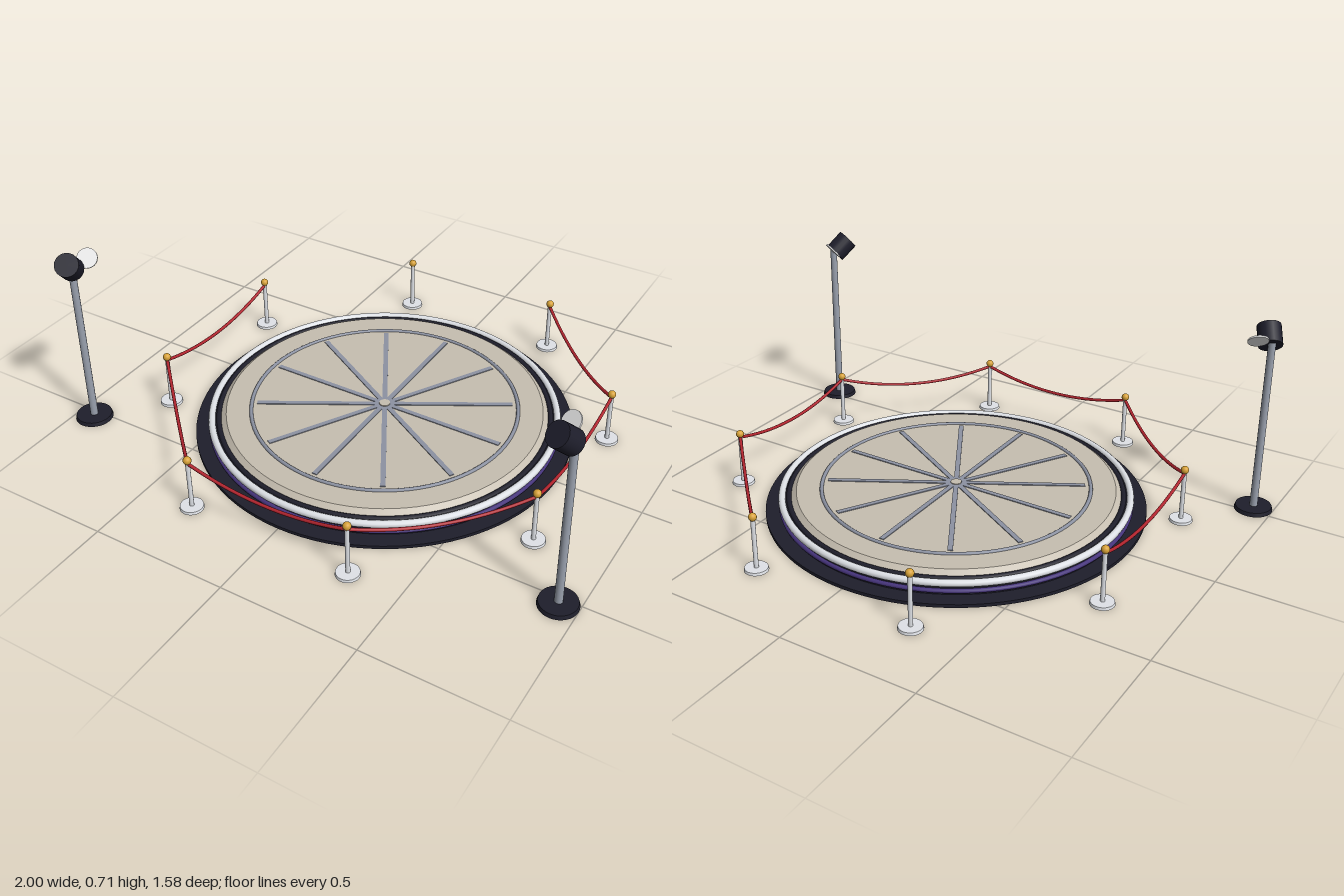
import * as THREE from 'three';

const mat = (name, color) => {
  const m = new THREE.MeshStandardMaterial({ color });
  m.name = name;
  return m;
};

export function createModel() {
  const model = new THREE.Group();
  model.name = 'displayStage';

  const dark = mat('dark metal', 0x1e1e2b);
  const steel = mat('polished steel', 0xe2e5ea);
  const pole = mat('grey metal', 0x9aa1ae);
  const stone = mat('beige deck', 0xc6beb0);
  const inlay = mat('blue grey inlay', 0x8c92a2);
  const purple = mat('purple glow', 0x46347c);
  const gold = mat('gold', 0xd8a236);
  const red = mat('red rope', 0xb2242e);
  const lensWhite = mat('lens white', 0xffffff);

  const add = (parent, name, geometry, material, x = 0, y = 0, z = 0) => {
    const mesh = new THREE.Mesh(geometry, material);
    mesh.name = name;
    mesh.position.set(x, y, z);
    parent.add(mesh);
    return mesh;
  };
  // Upright cylinder standing on y0 and reaching y1
  const disc = (parent, name, rTop, rBottom, y0, y1, material, sides = 96) =>
    add(parent, name, new THREE.CylinderGeometry(rTop, rBottom, y1 - y0, sides), material, 0, (y0 + y1) / 2, 0);
  // Horizontal ring
  const ring = (parent, name, r, tube, y, material) =>
    add(parent, name, new THREE.TorusGeometry(r, tube, 10, 96).rotateX(Math.PI / 2), material, 0, y, 0);

  // Round stage
  const stage = new THREE.Group();
  stage.name = 'stage';
  model.add(stage);
  disc(stage, 'basePlate', 0.687, 0.687, 0, 0.012, dark);
  disc(stage, 'drum', 0.625, 0.63, 0.012, 0.045, dark);
  ring(stage, 'glowRing', 0.631, 0.008, 0.026, purple);
  disc(stage, 'upperDrum', 0.62, 0.625, 0.045, 0.056, dark);
  ring(stage, 'steelRim', 0.627, 0.013, 0.053, steel);
  ring(stage, 'darkTrim', 0.602, 0.01, 0.053, dark);
  disc(stage, 'deck', 0.575, 0.595, 0.056, 0.073, stone);

  // Deck inlay: ring, spokes and hub
  ring(stage, 'inlayRing', 0.485, 0.007, 0.073, inlay);
  for (let i = 0; i < 12; i++) {
    const a = (i * Math.PI) / 6;
    const spoke = add(stage, 'inlaySpoke', new THREE.BoxGeometry(0.445, 0.006, 0.018), inlay,
      Math.cos(a) * 0.2425, 0.073, -Math.sin(a) * 0.2425);
    spoke.rotation.y = a;
  }
  disc(stage, 'hub', 0.02, 0.02, 0.071, 0.079, stone, 24);

  // Barrier posts in an octagon
  const posts = [];
  for (let i = 0; i < 8; i++) {
    const a = Math.PI / 8 + (i * Math.PI) / 4;
    const post = new THREE.Group();
    post.name = 'barrierPost';
    post.position.set(Math.cos(a) * 0.807, 0, Math.sin(a) * 0.807);
    disc(post, 'postFoot', 0.04, 0.042, 0, 0.01, steel, 28);
    disc(post, 'postPole', 0.008, 0.008, 0.01, 0.192, steel, 16);
    add(post, 'postBall', new THREE.SphereGeometry(0.0145, 16, 12), gold, 0, 0.2, 0);
    model.add(post);
    posts.push(post.position);
  }

  // Sagging ropes; the two spans beside the back right post stay open
  for (let i = 0; i < 8; i++) {
    if (i === 4 || i === 5) continue;
    const from = posts[i], to = posts[(i + 1) % 8];
    const points = [];
    for (let k = 0; k <= 12; k++) {
      const t = k / 12;
      const p = from.clone().lerp(to, t);
      p.y = 0.187 - 0.047 * 4 * t * (1 - t);
      points.push(p);
    }
    add(model, 'rope', new THREE.TubeGeometry(new THREE.CatmullRomCurve3(points), 32, 0.006, 8), red);
  }

  // Spotlights on tall stands, mirrored left and right
  for (const s of [-1, 1]) {
    const light = new THREE.Group();
    light.name = s > 0 ? 'leftSpotlight' : 'rightSpotlight';
    light.position.set(s * 0.932, 0, 0.527);
    disc(light, 'standFoot', 0.064, 0.068, 0, 0.014, dark, 32);
    disc(light, 'standPole', 0.013, 0.014, 0.014, 0.645, pole, 20);
    const axis = new THREE.Vector3(-s * 0.38, 0.65, 0.65).normalize();
    const tilt = new THREE.Quaternion().setFromUnitVectors(new THREE.Vector3(0, 1, 0), axis);
    const head = add(light, 'lampHead', new THREE.CylinderGeometry(0.042, 0.042, 0.077, 20), dark, -s * 0.02, 0.655, 0.028);
    const lens = add(light, 'lampLens', new THREE.CylinderGeometry(0.036, 0.036, 0.006, 28), lensWhite, -s * 0.034, 0.658, -0.046);
    head.quaternion.copy(tilt);
    lens.quaternion.copy(tilt);
    model.add(light);
  }

  return model;
}
